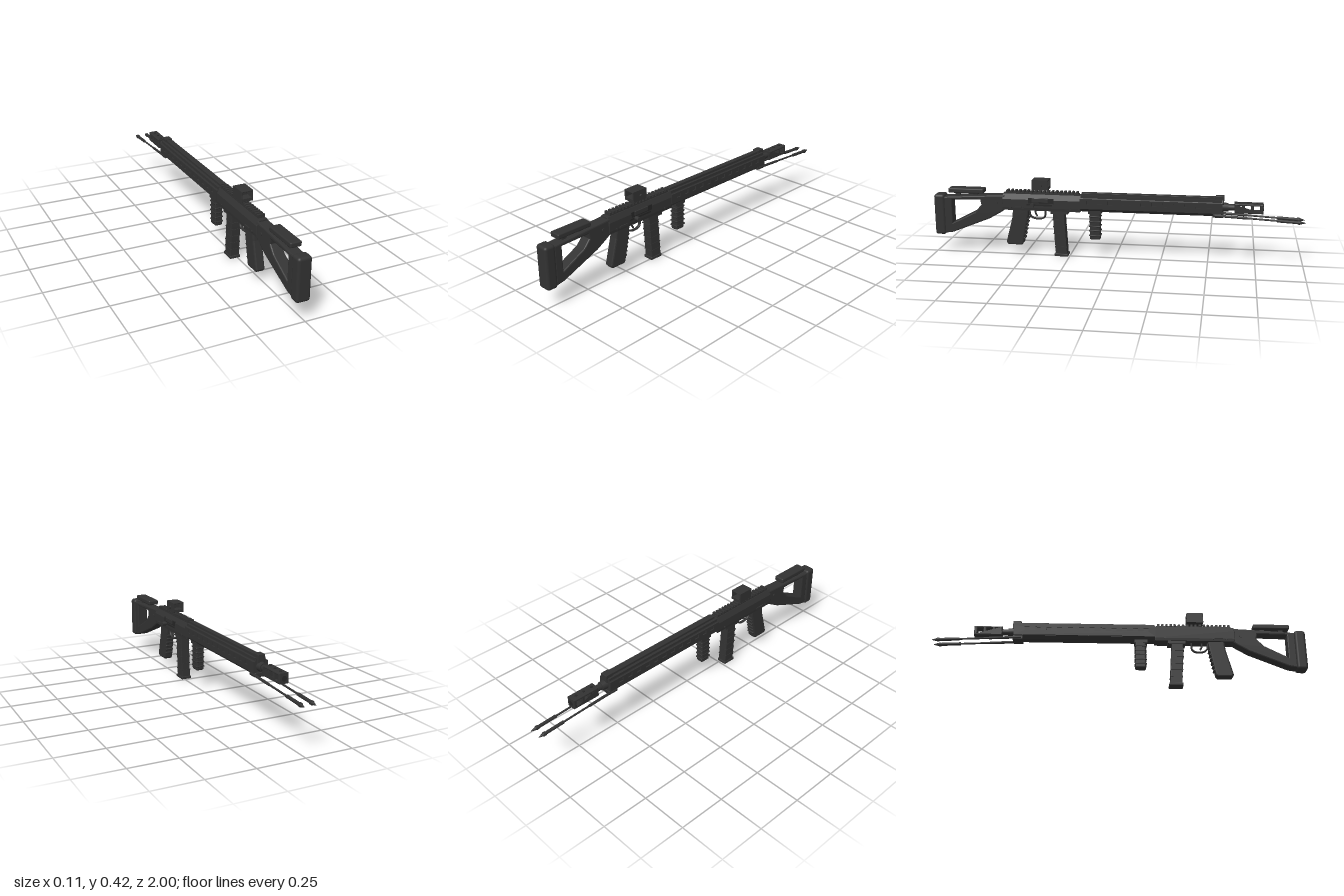
import * as THREE from 'three';
import { RoundedBoxGeometry } from 'three/addons/geometries/RoundedBoxGeometry.js';

const charcoal = new THREE.MeshStandardMaterial({ color: 0x323232 });
charcoal.name = 'charcoal';
const black = new THREE.MeshStandardMaterial({ color: 0x262626 });
black.name = 'black';

export function createModel() {
  const model = new THREE.Group();
  const body = new THREE.Group();
  body.name = 'body';
  body.position.x = -0.013;
  model.add(body);

  const add = (name, geo, mat = charcoal) => {
    const mesh = new THREE.Mesh(geo, mat);
    mesh.name = name;
    body.add(mesh);
    return mesh;
  };
  // Box given by its limits on each axis
  const box = (name, x0, x1, y0, y1, z0, z1, r = 0, mat = charcoal) => {
    const s = [x1 - x0, y1 - y0, z1 - z0];
    const geo = r ? new RoundedBoxGeometry(...s, 3, r) : new THREE.BoxGeometry(...s);
    geo.translate((x0 + x1) / 2, (y0 + y1) / 2, (z0 + z1) / 2);
    return add(name, geo, mat);
  };
  const toPts = (p) => p.map(([a, b]) => new THREE.Vector2(a, b));
  const rect = (z0, z1, y0, y1) => [[z0, y0], [z1, y0], [z1, y1], [z0, y1]];
  const extrude = (pts, holes, depth, bevel) => {
    const shape = new THREE.Shape(toPts(pts));
    holes.forEach((h) => shape.holes.push(new THREE.Path(toPts(h))));
    const geo = new THREE.ExtrudeGeometry(shape, {
      depth: depth - 2 * bevel, bevelEnabled: bevel > 0, bevelSize: bevel,
      bevelThickness: bevel, bevelOffset: -bevel, bevelSegments: 2,
    });
    return geo.translate(0, 0, -(depth - 2 * bevel) / 2);
  };
  // Side profile in (z, y), given a width centred on x
  const side = (name, pts, width, { holes = [], bevel = 0, x = 0, mat = charcoal } = {}) =>
    add(name, extrude(pts, holes, width, bevel).rotateY(-Math.PI / 2).translate(x, 0, 0), mat);
  // Cross-section in (x, y), run from z0 to z1
  const section = (name, pts, z0, z1, bevel = 0, mat = charcoal) =>
    add(name, extrude(pts, [], z1 - z0, bevel).translate(0, 0, (z0 + z1) / 2), mat);
  // Round bar between two points
  const bar = (name, a, b, r0, r1 = r0, sides = 12, mat = charcoal) => {
    const A = new THREE.Vector3(...a), B = new THREE.Vector3(...b);
    const d = B.clone().sub(A);
    const mesh = add(name, new THREE.CylinderGeometry(r1, r0, d.length(), sides), mat);
    mesh.position.copy(A).add(B).multiplyScalar(0.5);
    mesh.quaternion.setFromUnitVectors(new THREE.Vector3(0, 1, 0), d.normalize());
    return mesh;
  };

  // Shoulder stock with triangular opening, pad and cheek rest
  box('buttPad', -0.037, 0.037, 0.1, 0.327, 0.94, 1, 0.015);
  side('stock', [[0.945, 0.315], [0.8, 0.325], [0.6, 0.335], [0.6, 0.255], [0.63, 0.235],
    [0.69, 0.2], [0.9, 0.115], [0.945, 0.108]], 0.062, {
    bevel: 0.007, holes: [[[0.9, 0.3], [0.74, 0.303], [0.735, 0.275], [0.77, 0.235], [0.9, 0.168]]],
  });
  box('cheekRest', -0.03, 0.03, 0.337, 0.364, 0.72, 0.917, 0.007);
  for (const z of [0.77, 0.87]) box('cheekRestPost', -0.012, 0.012, 0.31, 0.34, z - 0.012, z + 0.012);
  for (const s of [-1, 1]) bar('stockPin', [s * 0.03, 0.29, 0.65], [s * 0.034, 0.29, 0.65], 0.01);

  // Receiver
  section('receiver', [[-0.034, 0.255], [0.034, 0.255], [0.036, 0.27], [0.036, 0.315], [0.022, 0.343],
    [-0.022, 0.343], [-0.036, 0.315], [-0.036, 0.27]], 0.185, 0.615, 0.003);
  box('magazineWell', -0.031, 0.031, 0.24, 0.262, 0.255, 0.35);
  box('receiverRail', -0.018, 0.018, 0.34, 0.35, 0.195, 0.595);
  for (let i = 0; i < 18; i++) {
    const z = 0.2 + i * 0.0225;
    box('railTooth', -0.02, 0.02, 0.348, 0.36, z, z + 0.012);
  }
  box('ejectionPort', 0.033, 0.038, 0.296, 0.324, 0.33, 0.47, 0, black);
  box('portCover', 0.034, 0.042, 0.302, 0.325, 0.36, 0.45, 0.002);
  box('boltSlot', 0.033, 0.038, 0.283, 0.292, 0.34, 0.48, 0, black);
  bar('chargingHandleStem', [0.03, 0.289, 0.445], [0.045, 0.289, 0.445], 0.007);
  bar('chargingHandleKnob', [0.043, 0.289, 0.445], [0.066, 0.289, 0.445], 0.0115, 0.0115, 16);
  for (const s of [-1, 1]) {
    for (const z of [0.57, 0.5, 0.24]) bar('receiverPin', [s * 0.034, 0.27, z], [s * 0.039, 0.27, z], 0.006);
    box('selector', s * 0.038 - 0.003, s * 0.038 + 0.003, 0.268, 0.278, 0.505, 0.55);
  }

  // Reflex sight: hollow housing, glass and knob
  add('sightHousing', extrude([[-0.032, 0.368], [0.032, 0.368], [0.032, 0.424], [-0.032, 0.424]],
    [[[-0.024, 0.386], [0.024, 0.386], [0.024, 0.417], [-0.024, 0.417]]], 0.09, 0.002).translate(0, 0, 0.405));
  box('sightGlass', -0.025, 0.025, 0.385, 0.418, 0.402, 0.408);
  bar('sightKnob', [0.03, 0.394, 0.4], [0.04, 0.394, 0.4], 0.008, 0.008, 16);

  // Pistol grip with finger ridges
  side('pistolGrip', [[0.56, 0.262], [0.47, 0.262], [0.475, 0.225], [0.507, 0.065], [0.515, 0.055],
    [0.592, 0.055], [0.602, 0.068], [0.565, 0.21]], 0.05, { bevel: 0.008 });
  for (let i = 0; i < 6; i++) {
    const t = i / 5, z = 0.48 + t * 0.022, y = 0.205 - t * 0.11;
    const ridge = box('gripRidge', -0.022, 0.022, -0.005, 0.005, -0.007, 0.02, 0.003);
    ridge.position.set(0, y, z);
    ridge.rotation.x = -0.25;
  }

  // Trigger and guard
  const guardPath = new THREE.CatmullRomCurve3([[0.257, 0.472], [0.222, 0.468], [0.206, 0.45], [0.204, 0.405],
    [0.215, 0.388], [0.257, 0.382]].map(([y, z]) => new THREE.Vector3(0, y, z)));
  const guard = add('triggerGuard', new THREE.TubeGeometry(guardPath, 28, 0.005, 8));
  guard.scale.x = 1.8;
  const triggerPath = new THREE.QuadraticBezierCurve3(new THREE.Vector3(0, 0.26, 0.438),
    new THREE.Vector3(0, 0.235, 0.445), new THREE.Vector3(0, 0.216, 0.428));
  add('trigger', new THREE.TubeGeometry(triggerPath, 10, 0.005, 8));

  // Magazine, leaning gently forward
  side('magazine', [[0.338, 0.26], [0.276, 0.26], [0.273, 0.18], [0.268, 0.1], [0.263, 0.01],
    [0.326, 0.01], [0.331, 0.1], [0.336, 0.18]], 0.05, { bevel: 0.003 });
  box('magazineBase', -0.029, 0.029, 0, 0.015, 0.258, 0.332, 0.003);
  for (let i = 0; i < 5; i++) {
    const y = 0.05 + i * 0.038, z = 0.297 + i * 0.0027;
    box('magazineRib', -0.027, 0.027, y, y + 0.005, z - 0.033, z + 0.033);
  }

  // Front grip with rings
  box('frontGrip', -0.022, 0.022, 0.1, 0.262, 0.08, 0.138, 0.009);
  box('frontGripMount', -0.024, 0.024, 0.245, 0.265, 0.075, 0.145);
  for (let i = 0; i < 5; i++) {
    const y = 0.12 + i * 0.026;
    box('frontGripRing', -0.024, 0.024, y, y + 0.008, 0.077, 0.141, 0.003);
  }

  // Handguard: core with pierced side panels and a top rail
  const slots = [];
  for (let i = 0; i < 12; i++) slots.push(rect(0.125 - i * 0.058, 0.152 - i * 0.058, 0.302, 0.322));
  section('handguardCore', [[-0.02, 0.258], [0.02, 0.258], [0.034, 0.275], [0.034, 0.325], [0.024, 0.345],
    [-0.024, 0.345], [-0.034, 0.325], [-0.034, 0.275]], -0.57, 0.188);
  for (const s of [-1, 1]) {
    side('handguardPanel', rect(-0.57, 0.188, 0.276, 0.33), 0.007, { holes: slots, x: s * 0.0365 });
    box('handguardLedge', s * 0.025 - 0.005, s * 0.025 + 0.005, 0.33, 0.347, -0.565, 0.185);
  }
  box('handguardRail', -0.014, 0.014, 0.34, 0.358, -0.56, 0.182, 0.002);

  // Barrel, front sight block and muzzle brake
  bar('barrel', [0, 0.304, -0.55], [0, 0.304, -0.65], 0.017, 0.017, 20);
  bar('barrelCollar', [0, 0.304, -0.565], [0, 0.304, -0.6], 0.026, 0.022, 20);
  box('frontSight', -0.02, 0.02, 0.32, 0.365, -0.577, -0.532, 0.003);
  const ports = [-0.765, -0.717, -0.67].map((z) => rect(z, z + 0.032, 0.289, 0.319));
  side('muzzleBrake', rect(-0.782, -0.632, 0.278, 0.33), 0.052, { holes: ports, bevel: 0.005 });
  bar('muzzleBore', [0, 0.304, -0.78], [0, 0.304, -0.784], 0.013, 0.013, 20, black);
  for (let i = 0; i < 3; i++) {
    bar('brakeVent', [0, 0.329, -0.655 - i * 0.047], [0, 0.332, -0.655 - i * 0.047], 0.007, 0.007, 12, black);
  }

  // Folded bipod legs with spiked feet
  const legY = (z) => 0.262 + (z + 0.57) * 0.05;
  box('bipodMount', -0.033, 0.033, 0.252, 0.275, -0.575, -0.52, 0.004);
  for (const s of [-1, 1]) {
    const at = (z) => [s * 0.03, legY(z), z];
    bar('legUpper', at(-0.53), at(-0.7), 0.007);
    bar('legRod', at(-0.69), at(-0.87), 0.005);
    bar('legFoot', at(-0.855), at(-0.965), 0.0085);
    bar('legCollar', at(-0.96), at(-0.972), 0.011);
    bar('legSpike', at(-0.97), at(-1), 0.01, 0.001);
  }
  return model;
}
